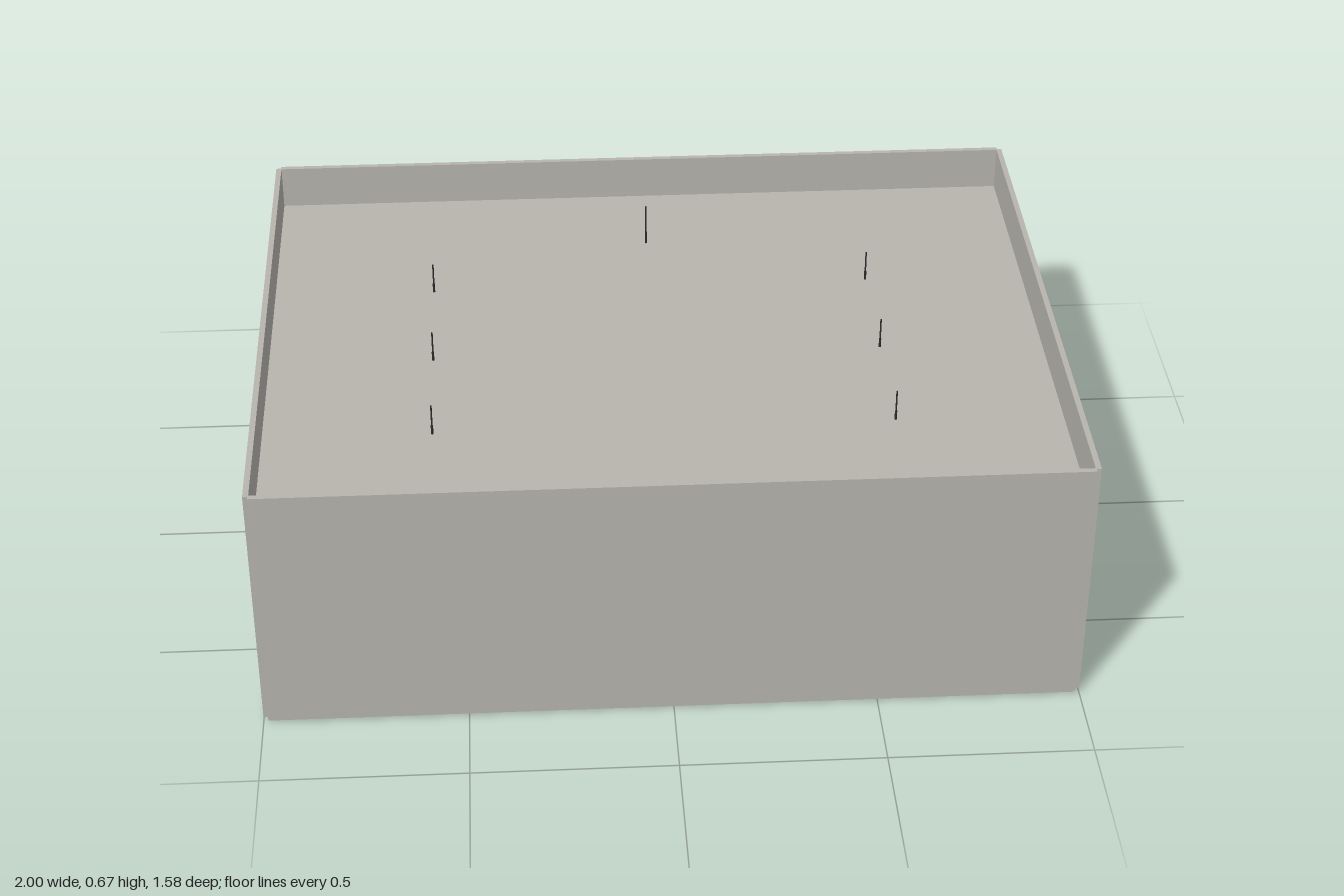
import * as THREE from 'three';

const concrete = new THREE.MeshStandardMaterial({ name: 'warm grey concrete', color: 0xb8b5ae });
const red = new THREE.MeshStandardMaterial({ name: 'dark red', color: 0x6e2f2d });
const dark = new THREE.MeshStandardMaterial({ name: 'dark metal', color: 0x2c2c2c });

// Box given by its lower and upper corners
function box(name, material, [x0, y0, z0], [x1, y1, z1]) {
  const mesh = new THREE.Mesh(new THREE.BoxGeometry(x1 - x0, y1 - y0, z1 - z0), material);
  mesh.position.set((x0 + x1) / 2, (y0 + y1) / 2, (z0 + z1) / 2);
  mesh.name = name;
  return mesh;
}

// Thin upright rod on a short collar
function roofRod(x, z, base, height) {
  const rod = new THREE.Group();
  rod.name = 'roofRod';
  const parts = [['shaft', 0.002, height], ['collar', 0.003, height * 0.3]];
  for (const [name, radius, h] of parts) {
    const mesh = new THREE.Mesh(new THREE.CylinderGeometry(radius, radius, h, 8), dark);
    mesh.position.y = h / 2;
    mesh.name = name;
    rod.add(mesh);
  }
  rod.position.set(x, base, z);
  return rod;
}

export function createModel() {
  const model = new THREE.Group();
  model.name = 'warehouse';
  const bottom = 0.012, top = 0.672, deck = 0.557;
  const back = -0.768, front = 0.79, wall = 0.014;

  // Ground slab, and roof deck sunk behind the parapet
  model.add(box('groundSlab', concrete, [-0.987, 0, back + 0.01], [0.987, bottom, front - 0.01]));
  model.add(box('roofDeck', concrete, [-0.986, deck - 0.02, back + wall], [0.986, deck, front - wall]));

  // Four walls, leaving a small notch at each corner
  model.add(box('frontWall', concrete, [-0.988, bottom, front - wall], [0.988, top, front]));
  model.add(box('backWall', concrete, [-0.988, bottom, back], [0.988, top, back + wall]));
  for (const s of [-1, 1]) {
    const x0 = s > 0 ? 0.986 : -1;
    model.add(box('sideWall', concrete, [x0, bottom, back + 0.01], [x0 + 0.014, top, front - 0.01]));
  }

  // Rods on the roof: three along each side and a taller one near the back
  for (const x of [-0.57, 0.57]) {
    for (const z of [-0.28, 0.05, 0.38]) model.add(roofRod(x, z, deck, 0.083));
  }
  model.add(roofRod(0, -0.5, deck, 0.113));

  // Sloping ramp at the back, with a small marker at each end
  const ramp = new THREE.Mesh(new THREE.BoxGeometry(0.375, 0.003, 0.024), red);
  ramp.name = 'entranceRamp';
  ramp.position.set(0, 0.013, -0.778);
  ramp.rotation.x = -0.2;
  model.add(ramp);
  for (const x of [-0.215, 0.215]) {
    model.add(box('rampMarker', dark, [x - 0.003, 0.01, -0.782], [x + 0.003, 0.016, -0.776]));
  }
  return model;
}
